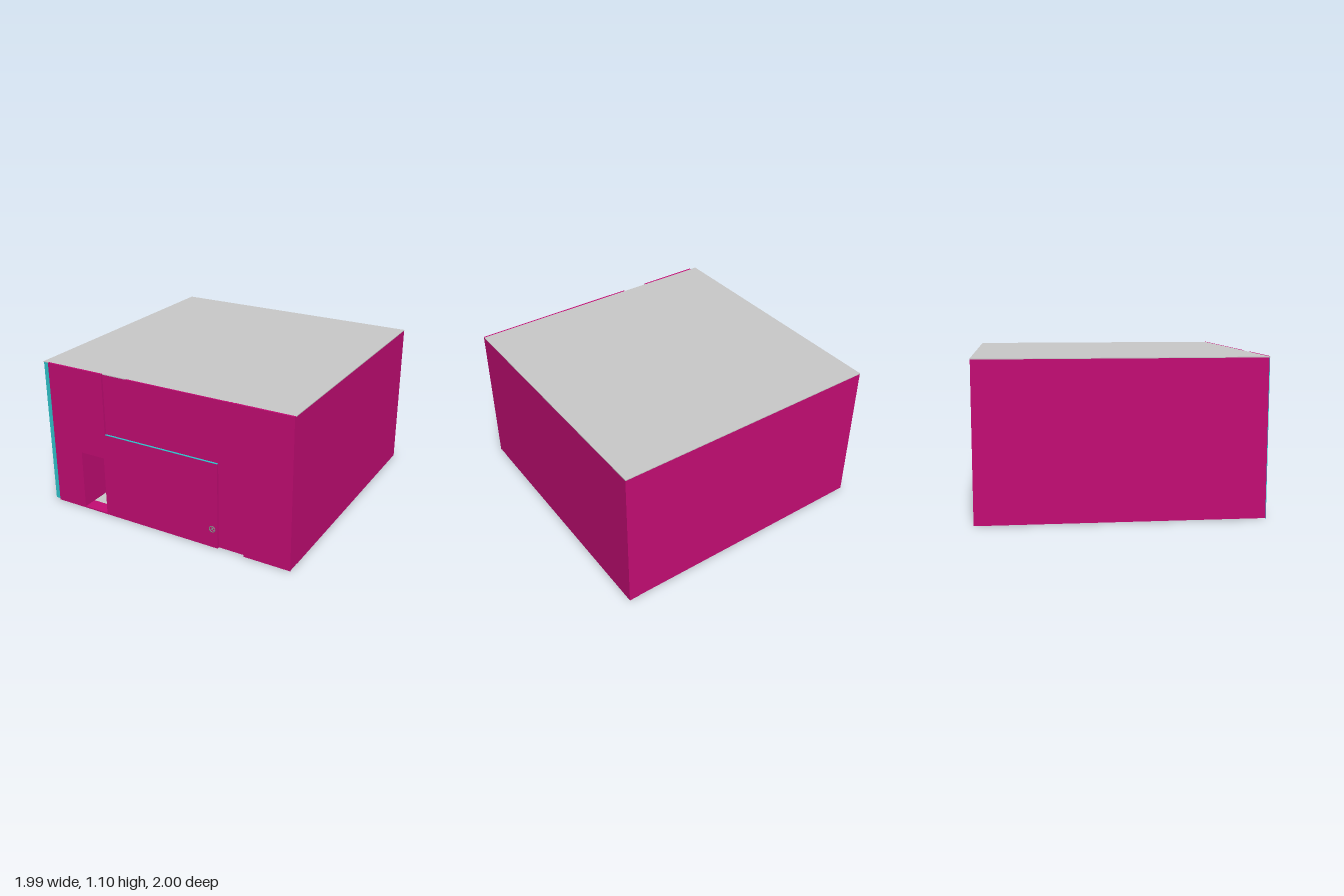
import * as THREE from 'three';

const mat = (name, color, side = THREE.FrontSide) => {
  const m = new THREE.MeshStandardMaterial({ color, side });
  m.name = name;
  return m;
};

export function createModel() {
  const magenta = mat('magenta wall', 0xc40c74);
  const grey = mat('light grey', 0xcacaca);
  const cyan = mat('cyan trim', 0x30c5cd);
  const metal = mat('tap metal', 0x8a9a90);

  const group = new THREE.Group();
  group.name = 'building';

  const add = (name, geometry, material, parent = group) => {
    const mesh = new THREE.Mesh(geometry, material);
    mesh.name = name;
    parent.add(mesh);
    return mesh;
  };

  // Box given by its minimum and maximum corners
  const box = (name, material, x0, x1, y0, y1, z0, z1) => {
    const mesh = add(name, new THREE.BoxGeometry(x1 - x0, y1 - y0, z1 - z0), material);
    mesh.position.set((x0 + x1) / 2, (y0 + y1) / 2, (z0 + z1) / 2);
    return mesh;
  };

  // Outline extruded forward from z0 to z1, with an optional door opening
  const doorway = [[-0.7, 0.01], [-0.5, 0.01], [-0.5, 0.455], [-0.7, 0.455]];
  const toPoints = (list) => list.map(([x, y]) => new THREE.Vector2(x, y));
  const panel = (name, outline, z0, z1, hasDoor) => {
    const shape = new THREE.Shape(toPoints(outline));
    if (hasDoor) shape.holes.push(new THREE.Path(toPoints(doorway)));
    const geometry = new THREE.ExtrudeGeometry(shape, { depth: z1 - z0, bevelEnabled: false });
    add(name, geometry, magenta).position.z = z0;
  };

  const top = 1.094;

  // Floor and roof slabs
  box('floor', grey, -0.985, 0.91, 0.002, 0.01, -0.985, 0.88);
  box('floorFrontStrip', grey, -0.5, 0.985, 0.002, 0.008, 0.88, 0.966);
  box('roof', grey, -0.995, 0.99, top, 1.1, -0.997, 0.972);

  // Outer walls
  box('rightWall', magenta, 0.91, 0.99, 0, top, -0.995, 0.88);
  box('leftWall', magenta, -0.995, -0.96, 0.003, top, -0.995, 0.965);
  box('backWall', magenta, -0.96, 0.91, 0.003, top, -0.995, -0.93);
  box('leftWallEndTrim', cyan, -0.995, -0.962, 0, top, 0.965, 0.969);
  panel('frontWall', [[-0.96, 0.003], [0.99, 0.003], [0.99, top], [-0.96, top]], 0.88, 0.969, true);
  box('doorSill', magenta, -0.95, -0.5, 0, 0.01, 0.88, 0.969);

  // Raised facade panels, leaving a stepped channel between them
  panel('lowerFacade', [[-0.945, 0], [0.44, 0], [0.44, 0.643], [-0.477, 0.643],
    [-0.477, 1.1], [-0.945, 1.1]], 0.969, 0.984, true);
  panel('upperFacade', [[0.64, 0], [0.99, 0], [0.99, 1.1], [-0.272, 1.1],
    [-0.272, 0.847], [0.64, 0.847]], 0.969, 0.984, false);
  box('channelLedge', cyan, -0.477, 0.44, 0.643, 0.645, 0.969, 0.984);

  // Interior partitions
  box('longPartition', magenta, 0.01, 0.09, 0, top, -0.93, 0.88);
  box('crossPartition', magenta, -0.96, -0.16, 0, top, 0.56, 0.65);
  box('entryPartition', magenta, -0.8, -0.7, 0, top, 0.65, 0.88);

  // Small wheel tap on the facade
  const tap = new THREE.Group();
  tap.name = 'wheelTap';
  tap.position.set(0.405, 0.15, 0.984);
  group.add(tap);
  const stem = add('tapStem', new THREE.CylinderGeometry(0.004, 0.004, 0.014, 10), metal, tap);
  stem.rotation.x = Math.PI / 2;
  stem.position.z = 0.007;
  add('tapRim', new THREE.TorusGeometry(0.022, 0.003, 6, 24), metal, tap).position.z = 0.013;
  for (let i = 0; i < 3; i++) {
    const a = Math.PI / 2 + (i * Math.PI * 2) / 3;
    const spoke = add('tapSpoke', new THREE.BoxGeometry(0.022, 0.004, 0.003), metal, tap);
    spoke.position.set(Math.cos(a) * 0.011, Math.sin(a) * 0.011, 0.013);
    spoke.rotation.z = a;
  }

  return group;
}
